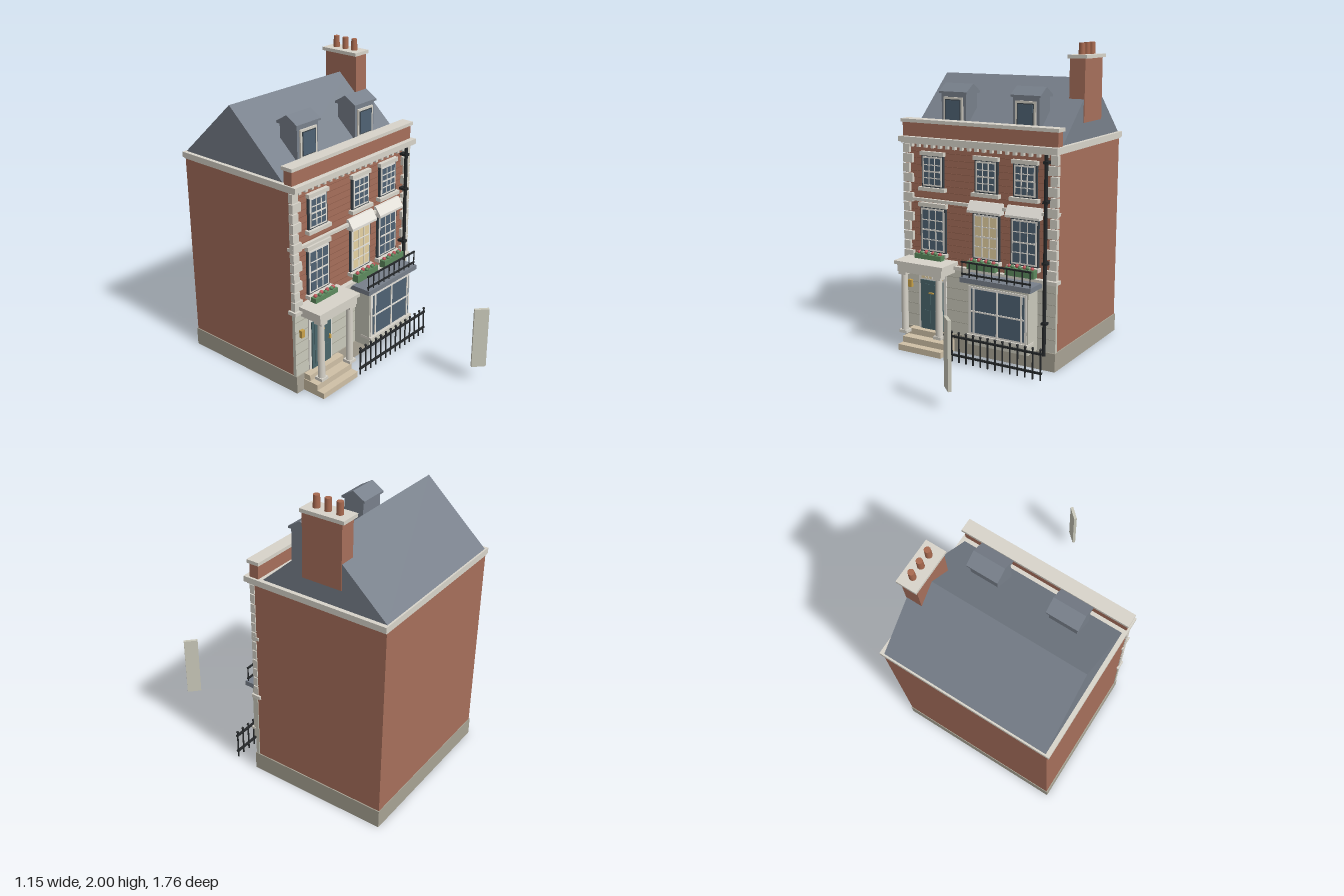
import * as THREE from 'three';

const COLORS = {
  brick: 0xa66f5b, brickDark: 0x8e5b49, stone: 0xd8d4ca, ashlar: 0xcac9bb, joint: 0xa9a799,
  plinth: 0xa8a394, step: 0xcfc0a6, slate: 0x78808b, glass: 0x4f6274, dark: 0x3a444b,
  iron: 0x25282a, door: 0x4a666b, cream: 0xe6d2a2, brass: 0xc9a24a, leaf: 0x5d8a5e,
  flower: 0xc2545a, white: 0xe4e1da, pot: 0xa8694f,
};
const mats = {};
const mat = (c) => (mats[c] ??= new THREE.MeshStandardMaterial({ color: COLORS[c] }));

export function createModel() {
  const root = new THREE.Group();

  const add = (name, geo, color, x = 0, y = 0, z = 0) => {
    const m = new THREE.Mesh(geo, mat(color));
    m.name = name;
    m.position.set(x, y, z);
    root.add(m);
    return m;
  };
  // Box given by its limits
  const box = (name, color, x0, x1, y0, y1, z0, z1) =>
    add(name, new THREE.BoxGeometry(x1 - x0, y1 - y0, z1 - z0), color,
      (x0 + x1) / 2, (y0 + y1) / 2, (z0 + z1) / 2);
  // Upright cylinder
  const post = (name, color, x, y0, y1, z, r, sides = 8, rTop = r) =>
    add(name, new THREE.CylinderGeometry(rTop, r, y1 - y0, sides), color, x, (y0 + y1) / 2, z);
  // Side profile [z, y] stretched along x
  const prism = (name, color, x0, x1, pts) => {
    const s = new THREE.Shape(pts.map(([z, y]) => new THREE.Vector2(-z, y)));
    const g = new THREE.ExtrudeGeometry(s, { depth: x1 - x0, bevelEnabled: false });
    g.rotateY(Math.PI / 2);
    return add(name, g, color, x0, 0, 0);
  };

  // Main block
  box('plinth', 'plinth', -0.567, 0.56, 0, 0.12, -0.88, 0.055);
  box('brickWalls', 'brick', -0.56, 0.553, 0.12, 1.37, -0.876, 0.03);
  box('groundFloorStone', 'ashlar', -0.565, 0.558, 0.12, 0.56, 0.025, 0.048);
  for (let y = 0.2; y < 0.53; y += 0.075)
    box('stoneJoint', 'joint', -0.563, 0.556, y, y + 0.004, 0.04, 0.0495);
  for (let y = 0.62; y < 1.33; y += 0.0425)
    box('brickCourse', 'brickDark', -0.555, 0.548, y, y + 0.003, 0.02, 0.0312);
  box('lowerStringCourse', 'stone', -0.574, 0.567, 0.555, 0.578, 0.0, 0.063);
  box('upperStringCourse', 'stone', -0.567, 0.56, 0.978, 0.998, 0.0, 0.052);

  // Quoins, alternately long and short
  for (let i = 0; i < 12; i++) {
    const y = 0.582 + i * 0.0645, w = i % 2 ? 0.048 : 0.072;
    box('quoinRight', 'stone', -0.566, -0.566 + w, y, y + 0.058, 0.02, 0.052);
    box('quoinLeft', 'stone', 0.559 - w, 0.559, y, y + 0.058, 0.02, 0.052);
  }

  // Cornice, dentils and parapet
  box('cornice', 'stone', -0.577, 0.572, 1.365, 1.4, -0.883, 0.086);
  box('corniceLip', 'stone', -0.568, 0.562, 1.355, 1.365, -0.88, 0.07);
  for (let i = 0; i < 19; i++) {
    const x = -0.5 + i * 0.0545;
    box('dentil', 'stone', x - 0.01, x + 0.01, 1.332, 1.357, 0.02, 0.055);
  }
  box('parapet', 'brick', -0.565, 0.557, 1.4, 1.49, -0.012, 0.05);
  box('parapetCoping', 'stone', -0.575, 0.567, 1.49, 1.512, -0.024, 0.062);

  // Roof
  prism('roof', 'slate', -0.55, 0.545, [[-0.037, 1.4], [-0.458, 1.78], [-0.872, 1.4]]);

  // Dormers
  for (const x of [-0.266, 0.262]) {
    box('dormerBody', 'slate', x - 0.092, x + 0.092, 1.46, 1.68, -0.235, -0.097);
    prism('dormerRoof', 'slate', x - 0.105, x + 0.105,
      [[-0.085, 1.672], [-0.085, 1.685], [-0.167, 1.735], [-0.25, 1.685], [-0.25, 1.672]]);
    box('dormerFrame', 'stone', x - 0.072, x + 0.072, 1.47, 1.65, -0.1, -0.086);
    box('dormerGlassEdge', 'dark', x - 0.058, x + 0.058, 1.485, 1.636, -0.1, -0.083);
    box('dormerGlass', 'glass', x - 0.053, x + 0.053, 1.49, 1.63, -0.1, -0.081);
  }

  // Chimney
  box('chimneyStack', 'brick', 0.445, 0.55, 1.51, 1.906, -0.58, -0.32);
  box('chimneyCap', 'stone', 0.432, 0.563, 1.904, 1.926, -0.598, -0.312);
  for (const z of [-0.379, -0.454, -0.53]) post('chimneyPot', 'pot', 0.498, 1.92, 2, z, 0.021, 16, 0.019);

  // Sash windows
  const sash = (x, w, y0, y1, rows, pane) => {
    const h = w / 2;
    box('windowSurround', 'dark', x - h, x + h, y0, y1, 0.02, 0.046);
    box('windowFrame', 'white', x - h + 0.009, x + h - 0.009, y0 + 0.009, y1 - 0.009, 0.02, 0.05);
    box('windowPane', pane, x - h + 0.02, x + h - 0.02, y0 + 0.02, y1 - 0.02, 0.02, 0.0515);
    const iw = w - 0.04, ih = y1 - y0 - 0.04;
    for (let i = 1; i < 3; i++) {
      const gx = x - iw / 2 + (iw * i) / 3;
      box('glazingBar', 'white', gx - 0.003, gx + 0.003, y0 + 0.02, y1 - 0.02, 0.03, 0.055);
    }
    for (let i = 1; i < rows; i++) {
      const gy = y0 + 0.02 + (ih * i) / rows, t = i === rows / 2 ? 0.005 : 0.003;
      box('glazingBar', 'white', x - iw / 2, x + iw / 2, gy - t, gy + t, 0.03, 0.055);
    }
  };
  const columns = [-0.34, 0.06, 0.334];
  columns.forEach((x, i) => {
    sash(x, 0.165, 1.075, 1.285, 4, 'glass');
    box('upperLintel', 'stone', x - 0.09, x + 0.09, 1.282, 1.308, 0.02, 0.057);
    box('upperSill', 'stone', x - 0.1, x + 0.1, 1.052, 1.076, 0.02, 0.067);
    sash(x, 0.195, 0.645, 0.945, 4, i === 1 ? 'cream' : 'glass');
    box('lowerSill', 'stone', x - 0.11, x + 0.11, 0.622, 0.646, 0.02, 0.07);
    if (i === 0) box('lowerLintel', 'stone', x - 0.107, x + 0.107, 0.944, 0.972, 0.02, 0.057);
    else prism('awning', 'white', x - 0.12, x + 0.12,
      [[0.03, 0.95], [0.082, 0.95], [0.082, 0.965], [0.045, 1.02], [0.03, 1.02]]);

    // Flower boxes
    const y0 = i ? 0.592 : 0.61;
    box('flowerBox', 'leaf', x - 0.102, x + 0.102, y0, 0.642, 0.066, 0.112);
    for (let k = 0; k < 7; k++) {
      const fx = x - 0.08 + k * 0.0267;
      add('flower', new THREE.SphereGeometry(0.013, 8, 6), k % 2 ? 'leaf' : 'flower',
        fx, 0.648 + (k % 3) * 0.003, 0.088 + (k % 2) * 0.012);
    }
  });

  // Entrance steps
  [[0.222, 0.165], [0.17, 0.165], [0.105, 0.16]].forEach(([z, h], i) =>
    box('entranceStep', 'step', -0.34 - h, -0.34 + h, i * 0.04, i * 0.04 + 0.04, 0.03, z));

  // Door, fanlight and fittings
  box('doorCase', 'white', -0.45, -0.235, 0.12, 0.53, 0.03, 0.056);
  box('door', 'door', -0.43, -0.255, 0.12, 0.455, 0.03, 0.064);
  for (const x of [-0.382, -0.303])
    for (const [a, b] of [[0.15, 0.25], [0.29, 0.43]])
      box('doorPanel', 'door', x - 0.027, x + 0.027, a, b, 0.05, 0.068);
  box('fanlight', 'cream', -0.425, -0.26, 0.465, 0.515, 0.03, 0.06);
  for (let i = -2; i <= 2; i++) {
    const bar = box('fanlightBar', 'white', -0.002, 0.002, -0.024, 0.024, 0, 0.006);
    bar.position.set(-0.342 + i * 0.03, 0.49, 0.061);
    bar.rotation.z = -i * 0.3;
  }
  box('doorKnocker', 'brass', -0.362, -0.322, 0.368, 0.376, 0.06, 0.076);
  box('doorHandle', 'brass', -0.28, -0.268, 0.28, 0.308, 0.06, 0.08);
  box('wallLamp', 'brass', -0.53, -0.502, 0.39, 0.44, 0.04, 0.07);

  // Porch
  for (const x of [-0.476, -0.208]) {
    post('porchColumn', 'stone', x, 0.12, 0.52, 0.18, 0.024, 20, 0.021);
    box('columnBase', 'stone', x - 0.029, x + 0.029, 0.118, 0.138, 0.151, 0.209);
    box('columnCapital', 'stone', x - 0.029, x + 0.029, 0.515, 0.535, 0.151, 0.209);
  }
  box('porchEntablature', 'stone', -0.512, -0.172, 0.533, 0.583, 0.03, 0.21);
  box('porchCanopy', 'stone', -0.53, -0.157, 0.583, 0.606, 0.03, 0.222);

  // Bay window
  box('bayBody', 'ashlar', 0.002, 0.432, 0.12, 0.53, 0.04, 0.17);
  box('baySurround', 'white', 0.012, 0.424, 0.185, 0.505, 0.1, 0.176);
  box('bayGlass', 'glass', 0.03, 0.41, 0.205, 0.49, 0.1, 0.179);
  for (const x of [0.05, 0.22, 0.39])
    box('bayMullion', 'white', x - 0.006, x + 0.006, 0.2, 0.495, 0.1, 0.184);
  box('bayTransom', 'white', 0.03, 0.41, 0.341, 0.351, 0.1, 0.184);
  box('baySill', 'stone', 0.0, 0.436, 0.175, 0.192, 0.1, 0.187);
  box('balconyFloor', 'slate', -0.04, 0.462, 0.528, 0.56, 0.04, 0.202);

  // Balcony railing
  for (let i = 0; i <= 9; i++) {
    const x = -0.03 + i * 0.0535;
    post('balconyBaluster', 'iron', x, 0.556, 0.66, 0.186, 0.004, 6);
  }
  for (const y of [0.575, 0.652]) box('balconyRail', 'iron', -0.036, 0.457, y, y + 0.01, 0.181, 0.191);

  // Drainpipe
  post('drainpipe', 'iron', 0.491, 0.1, 1.355, 0.07, 0.0115, 12);
  for (const y of [0.3, 0.68, 1.06, 1.3]) box('pipeBracket', 'iron', 0.474, 0.508, y, y + 0.016, 0.03, 0.084);

  // Street railing
  for (let i = 0; i < 14; i++) {
    const x = -0.142 + i * 0.0528;
    post('fenceBar', 'iron', x, 0, 0.19, 0.217, 0.0055, 6);
    add('fenceFinial', new THREE.SphereGeometry(0.009, 8, 6), 'iron', x, 0.196, 0.217);
  }
  for (const y of [0.04, 0.163]) box('fenceRail', 'iron', -0.15, 0.554, y, y + 0.012, 0.21, 0.224);

  // Detached angled panel
  const panel = box('detachedPanel', 'ashlar', -0.047, 0.047, 0.115, 0.53, -0.01, 0.01);
  panel.position.x = 0.284;
  panel.position.z = 0.839;
  panel.rotation.y = -0.75;

  return root;
}
